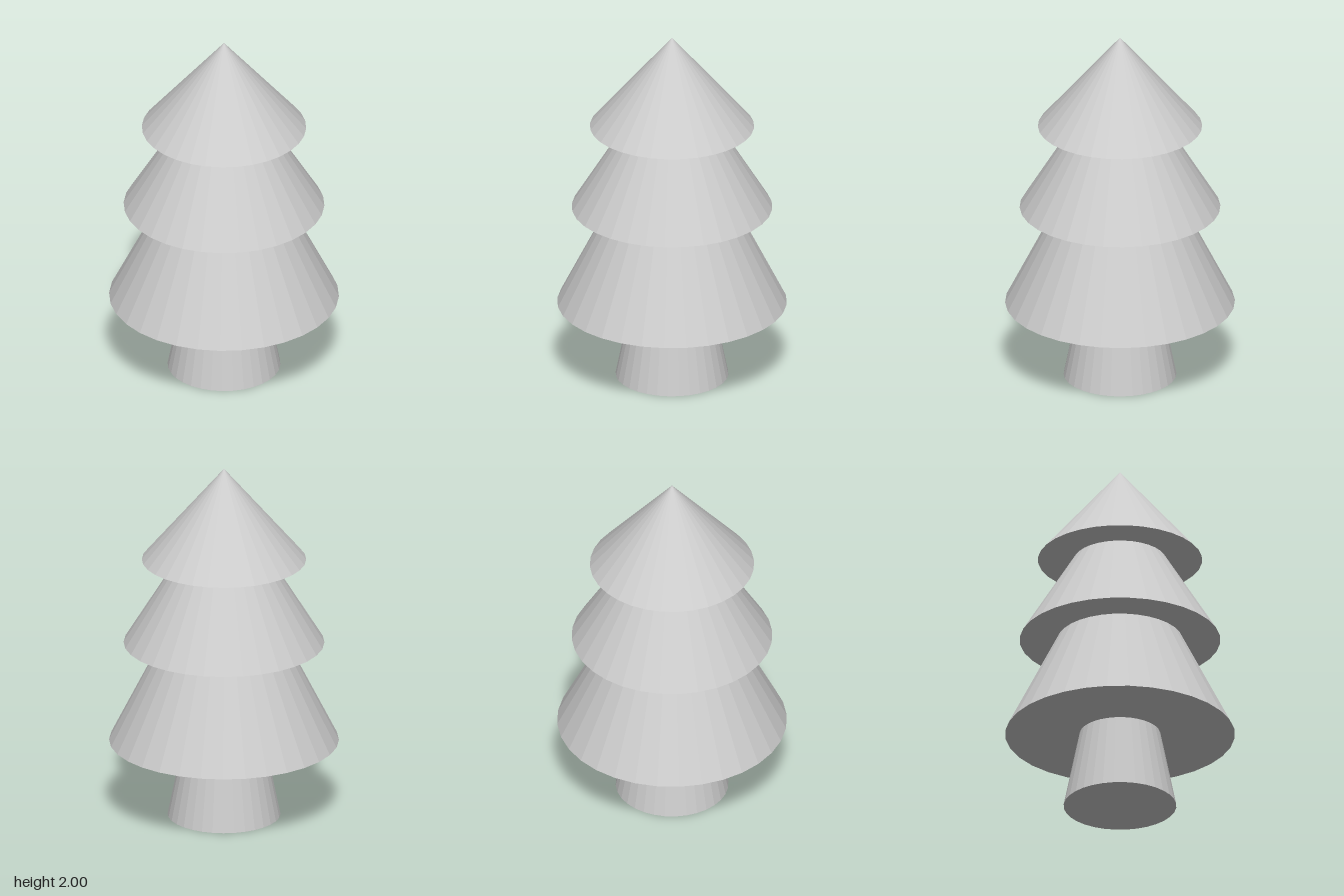
import * as THREE from 'three';

const SIDES = 32;

export function createModel() {
  const tree = new THREE.Group();
  tree.name = 'tree';
  const material = new THREE.MeshStandardMaterial({ color: 0xcccccc, flatShading: true });

  // Each part is a tapered round section from y0 up to y1
  const addSection = (name, y0, y1, bottomRadius, topRadius) => {
    const geometry = new THREE.CylinderGeometry(topRadius, bottomRadius, y1 - y0, SIDES);
    const mesh = new THREE.Mesh(geometry, material);
    mesh.name = name;
    mesh.position.y = (y0 + y1) / 2;
    tree.add(mesh);
  };

  addSection('trunk', 0, 0.43, 0.307, 0.22);
  addSection('lowerFoliage', 0.43, 0.995, 0.625, 0.34);
  addSection('middleFoliage', 0.995, 1.475, 0.546, 0.25);
  addSection('topFoliage', 1.475, 2, 0.447, 0);

  return tree;
}
